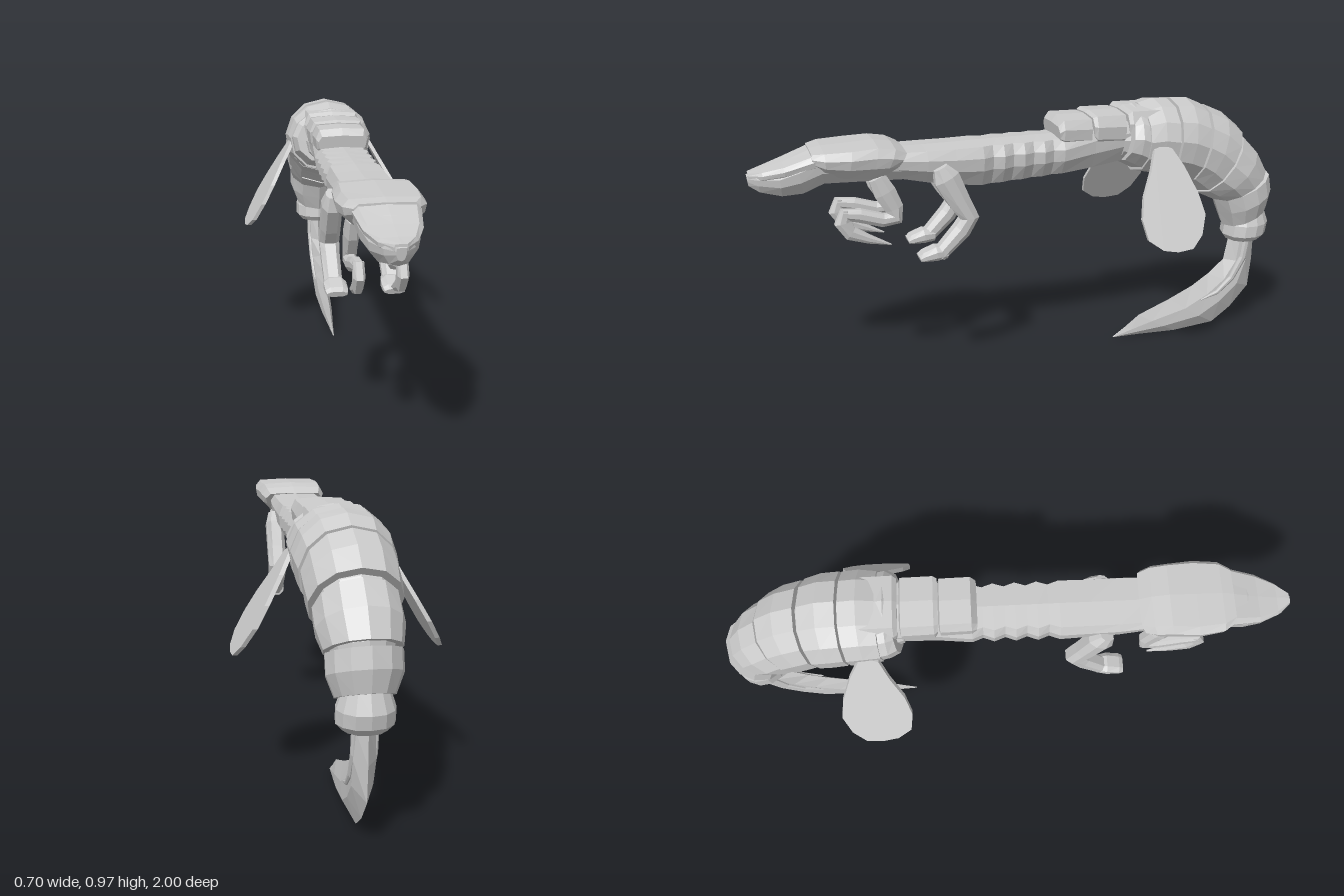
import * as THREE from 'three';

// Half cross-sections from belly to back, as fractions of half width and half height
const ROUND = [[0, -1], [0.62, -0.8], [0.93, -0.4], [1, 0.1], [0.84, 0.55], [0.5, 0.88], [0, 1]];
const FLAT = [[0, -1], [0.6, -0.8], [0.95, -0.1], [1, 0.45], [0.85, 0.92], [0, 1]];
const HEX = [[0.55, -1], [1, -0.4], [1, 0.4], [0.55, 1]];
const BLADE = [[0, -1], [0.8, -0.35], [1, 0.25], [0, 1]];

const material = new THREE.MeshStandardMaterial({ color: 0xcccccc, flatShading: true, side: THREE.DoubleSide });

function addMesh(parent, name, geometry) {
  const mesh = new THREE.Mesh(geometry, material);
  mesh.name = name;
  parent.add(mesh);
  return mesh;
}

// Loft through sections [backZ, backY, bellyZ, bellyY, halfWidth], ordered head to tail
function loft(sections, half, x0 = 0) {
  const left = half.filter(p => p[0] > 0).reverse().map(([u, v]) => [-u, v]);
  const ring = [...half, ...left];
  const n = ring.length, pos = [], index = [];
  for (const [tz, ty, bz, by, w] of sections) {
    for (const [u, v] of ring) {
      const k = (v + 1) / 2;
      pos.push(x0 + u * w, by + (ty - by) * k, bz + (tz - bz) * k);
    }
  }
  for (let i = 0; i < sections.length - 1; i++) {
    for (let j = 0; j < n; j++) {
      const a = i * n + j, b = i * n + (j + 1) % n;
      index.push(a, a + n, b + n, a, b + n, b);
    }
  }
  const last = (sections.length - 1) * n;
  for (let j = 1; j < n - 1; j++) {
    index.push(0, j, j + 1, last, last + j + 1, last + j);
  }
  const geometry = new THREE.BufferGeometry();
  geometry.setAttribute('position', new THREE.Float32BufferAttribute(pos, 3));
  geometry.setIndex(index);
  geometry.computeVertexNormals();
  return geometry;
}

// Limb along a centre line of [z, y, halfDepth, halfWidth]
function limb(points, x0) {
  const sections = points.map(([z, y, r, w], i) => {
    const p = points[Math.max(i - 1, 0)], q = points[Math.min(i + 1, points.length - 1)];
    const dz = q[0] - p[0], dy = q[1] - p[1], l = Math.hypot(dz, dy);
    const oz = dy / l * r, oy = -dz / l * r;
    return [z + oz, y + oy, z - oz, y - oy, w];
  });
  return loft(sections, HEX, x0);
}

// Armour ring: bulges slightly between its front and rear edges
function armourRing(front, rear) {
  const mid = front.map((v, i) => (v + rear[i]) / 2);
  const grow = 0.012, dz = mid[0] - mid[2], dy = mid[1] - mid[3], l = Math.hypot(dz, dy);
  mid[0] += dz / l * grow;
  mid[1] += dy / l * grow;
  mid[4] = Math.max(front[4], rear[4]);
  return loft([front, mid, rear], ROUND);
}

function wing(side) {
  const outline = [[0.42, 0.82], [0.39, 0.75], [0.345, 0.67], [0.325, 0.6], [0.335, 0.535], [0.385, 0.5],
    [0.44, 0.49], [0.5, 0.495], [0.545, 0.535], [0.573, 0.6], [0.56, 0.67], [0.525, 0.76], [0.49, 0.82], [0.455, 0.835]];
  const shape = new THREE.Shape(outline.map(p => new THREE.Vector2(...p)));
  const geometry = new THREE.ExtrudeGeometry(shape, { depth: 0.016, bevelEnabled: false });
  geometry.rotateY(Math.PI / 2);
  // Splay the blade outwards as it hangs
  const pos = geometry.attributes.position;
  for (let i = 0; i < pos.count; i++) {
    pos.setX(i, pos.getX(i) - 0.008 + side * (0.157 + (0.82 - pos.getY(i)) * 0.565));
  }
  geometry.computeVertexNormals();
  return geometry;
}

export function createModel() {
  const model = new THREE.Group();
  model.name = 'creature';

  // Head: snout and skull with an upper lip, then the broad crest
  addMesh(model, 'skull', loft([
    [1.0, 0.815, 0.995, 0.775, 0.015], [0.97, 0.825, 0.96, 0.75, 0.045], [0.9, 0.835, 0.89, 0.732, 0.075],
    [0.84, 0.865, 0.82, 0.735, 0.092], [0.77, 0.89, 0.75, 0.765, 0.1], [0.62, 0.89, 0.6, 0.76, 0.105],
    [0.48, 0.86, 0.48, 0.755, 0.09]], FLAT));
  addMesh(model, 'upperLip', loft([
    [0.995, 0.825, 0.995, 0.79, 0.02], [0.95, 0.832, 0.95, 0.785, 0.058], [0.88, 0.85, 0.88, 0.795, 0.088],
    [0.78, 0.885, 0.78, 0.81, 0.104]], FLAT));
  addMesh(model, 'crest', loft([
    [0.79, 0.888, 0.79, 0.83, 0.1], [0.75, 0.895, 0.75, 0.8, 0.127], [0.66, 0.898, 0.68, 0.78, 0.137],
    [0.57, 0.902, 0.6, 0.77, 0.13], [0.51, 0.892, 0.56, 0.775, 0.127], [0.47, 0.872, 0.53, 0.79, 0.115]], FLAT));

  // Long trunk, pinched by waves along its rear half
  const trunk = [[0.5, 0.87, 0.5, 0.76, 0.095], [0.4, 0.87, 0.4, 0.735, 0.1], [0.3, 0.87, 0.3, 0.715, 0.1]];
  for (let i = 0; i <= 8; i++) {
    const z = 0.2 - i * 0.0375;
    trunk.push([z, 0.872, z, 0.702 + i * 0.002, i % 2 ? 0.086 : 0.101]);
  }
  trunk.push([-0.22, 0.9, -0.22, 0.728, 0.095], [-0.36, 0.92, -0.36, 0.75, 0.1]);
  addMesh(model, 'trunk', loft(trunk, FLAT));

  // Raised back plates
  [[-0.08, 0.915, 0.9, 0.098, -0.1, 0.94], [-0.21, 0.94, 0.93, 0.105, -0.225, 0.948], [-0.345, 0.945, 0.94, 0.11, -0.36, 0.958]]
    .forEach(([z, y, , w, z2, y2], i) => {
      const end = z - 0.125, low = 0.83 - i * 0.015;
      addMesh(model, 'backPlate', loft([
        [z, y, z - 0.01, low, w - 0.008], [z2, y2, z2, low - 0.03, w], [end, y2 - 0.002, end, low - 0.04, w],
        [end - 0.006, y2 - 0.025, end, low - 0.03, w - 0.012]], FLAT));
    });

  // Curled abdomen: dark inner core and overlapping armour rings
  addMesh(model, 'abdomenCore', loft([
    [-0.33, 0.92, -0.33, 0.755, 0.1], [-0.5, 0.945, -0.47, 0.71, 0.14], [-0.68, 0.915, -0.6, 0.665, 0.135],
    [-0.83, 0.82, -0.68, 0.62, 0.125], [-0.95, 0.66, -0.77, 0.56, 0.1], [-0.965, 0.5, -0.81, 0.46, 0.075],
    [-0.95, 0.4, -0.84, 0.4, 0.05]], ROUND));
  const rings = [
    [[-0.37, 0.945, -0.335, 0.75, 0.14], [-0.415, 0.957, -0.41, 0.71, 0.155]],
    [[-0.42, 0.96, -0.4, 0.705, 0.16], [-0.54, 0.968, -0.51, 0.68, 0.165]],
    [[-0.55, 0.973, -0.52, 0.675, 0.164], [-0.68, 0.94, -0.61, 0.64, 0.157]],
    [[-0.695, 0.935, -0.62, 0.64, 0.152], [-0.84, 0.845, -0.675, 0.595, 0.146]],
    [[-0.85, 0.82, -0.68, 0.59, 0.136], [-0.965, 0.67, -0.765, 0.55, 0.12]],
    [[-0.982, 0.655, -0.765, 0.555, 0.117], [-0.985, 0.515, -0.81, 0.44, 0.092]]];
  rings.forEach(([front, rear]) => addMesh(model, 'abdomenRing', armourRing(front, rear)));
  addMesh(model, 'tailKnuckle', loft([
    [-0.975, 0.515, -0.845, 0.5, 0.07], [-0.998, 0.45, -0.82, 0.445, 0.09], [-0.99, 0.405, -0.815, 0.4, 0.09],
    [-0.965, 0.38, -0.83, 0.38, 0.07]], ROUND));

  // Blade-like stinger sweeping forward, with a pair of spines on its flanks
  addMesh(model, 'stinger', loft([
    [-0.955, 0.4, -0.845, 0.4, 0.038], [-0.955, 0.28, -0.825, 0.29, 0.036], [-0.945, 0.16, -0.76, 0.235, 0.034],
    [-0.87, 0.075, -0.69, 0.19, 0.031], [-0.79, 0.018, -0.59, 0.145, 0.029], [-0.62, 0.004, -0.46, 0.095, 0.02],
    [-0.47, 0.01, -0.4, 0.05, 0.01], [-0.35, 0.012, -0.35, 0.016, 0.002]], BLADE));
  for (const side of [1, -1]) {
    addMesh(model, 'stingerSpine', limb([
      [-0.91, 0.4, 0.016, 0.012], [-0.895, 0.3, 0.015, 0.012], [-0.85, 0.215, 0.012, 0.01],
      [-0.79, 0.16, 0.008, 0.007], [-0.72, 0.135, 0.002, 0.002]], side * 0.029));
  }

  for (const side of [1, -1]) {
    const label = side > 0 ? 'left' : 'right';
    addMesh(model, label + 'Wing', wing(side));

    // Walking leg with a forward foot
    addMesh(model, label + 'Leg', limb([
      [0.36, 0.81, 0.025, 0.022], [0.34, 0.77, 0.046, 0.034], [0.295, 0.68, 0.038, 0.034], [0.262, 0.62, 0.034, 0.034],
      [0.29, 0.575, 0.031, 0.032], [0.375, 0.49, 0.024, 0.03]], side * 0.1));
    addMesh(model, label + 'Foot', limb([
      [0.345, 0.5, 0.022, 0.03], [0.385, 0.5, 0.026, 0.038], [0.43, 0.492, 0.017, 0.038], [0.445, 0.487, 0.01, 0.034]], side * 0.097));

    // Folded grasping arm ending in a hooked claw
    addMesh(model, label + 'Arm', limb([
      [0.575, 0.785, 0.03, 0.02], [0.55, 0.73, 0.038, 0.024], [0.52, 0.67, 0.032, 0.022], [0.515, 0.635, 0.026, 0.022],
      [0.56, 0.63, 0.023, 0.02], [0.64, 0.655, 0.023, 0.02], [0.7, 0.665, 0.018, 0.018]], side * 0.068));
    addMesh(model, label + 'Claw', limb([
      [0.69, 0.68, 0.014, 0.017], [0.7, 0.635, 0.028, 0.019], [0.675, 0.595, 0.025, 0.017],
      [0.61, 0.565, 0.015, 0.012], [0.535, 0.537, 0.002, 0.003]], side * 0.068));
  }

  return model;
}
